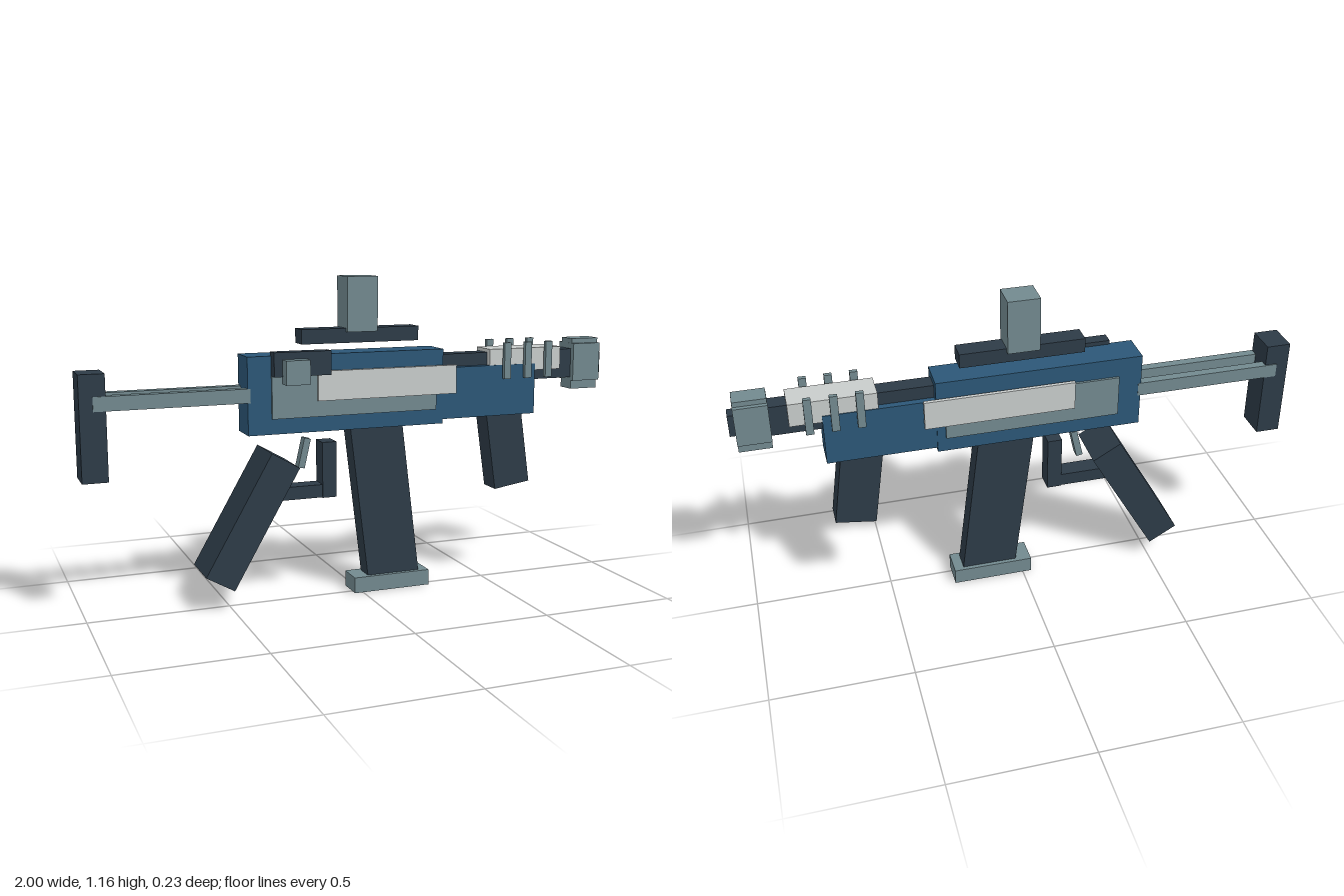
import * as THREE from 'three';

const mat = (name, color) => {
  const m = new THREE.MeshStandardMaterial({ color });
  m.name = name;
  return m;
};

export function createModel() {
  const blue = mat('blue', 0x2c5777);
  const dark = mat('darkSlate', 0x2d3b47);
  const grey = mat('grey', 0x72898f);
  const light = mat('lightGrey', 0xc8cccb);

  const model = new THREE.Group();
  model.name = 'toyBlaster';
  const mid = -0.0225; // z of the centre plane

  const add = (name, material, size, pos, tilt = 0) => {
    const mesh = new THREE.Mesh(new THREE.BoxGeometry(...size), material);
    mesh.name = name;
    mesh.position.set(...pos);
    mesh.rotation.z = THREE.MathUtils.degToRad(tilt);
    model.add(mesh);
  };
  // Box from its limits; z limits are measured from the centre plane
  const span = (name, material, x0, x1, y0, y1, z0, z1) =>
    add(name, material, [x1 - x0, y1 - y0, z1 - z0],
      [(x0 + x1) / 2, (y0 + y1) / 2, mid + (z0 + z1) / 2]);
  const centred = (name, material, x0, x1, y0, y1, half) =>
    span(name, material, x0, x1, y0, y1, -half, half);
  const pair = (name, material, x0, x1, y0, y1, z0, z1) => {
    span(name + 'Left', material, x0, x1, y0, y1, z0, z1);
    span(name + 'Right', material, x0, x1, y0, y1, -z1, -z0);
  };

  // Body
  centred('receiver', blue, -0.43, 0.31, 0.615, 0.89, 0.06);
  centred('handguard', blue, 0.29, 0.695, 0.63, 0.82, 0.056);
  pair('sidePlate', grey, -0.345, 0.28, 0.67, 0.82, 0.055, 0.069);
  pair('sideStrip', light, -0.18, 0.355, 0.727, 0.832, 0.067, 0.081);

  // Stock
  centred('buttPlate', dark, -1, -0.912, 0.49, 0.855, 0.057);
  pair('stockRod', grey, -0.955, -0.42, 0.73, 0.78, 0.028, 0.061);

  // Top rail and sight
  centred('topRail', dark, -0.225, 0.22, 0.923, 0.975, 0.036);
  centred('sight', grey, -0.06, 0.055, 0.962, 1.157, 0.0515);

  // Charging handle on one side
  span('handleBlock', dark, -0.345, -0.137, 0.82, 0.905, 0.052, 0.097);
  span('handleKnob', grey, -0.315, -0.228, 0.795, 0.88, 0.09, 0.14);

  // Barrel, shield and fins
  centred('barrel', dark, 0.3, 0.87, 0.757, 0.867, 0.031);
  centred('barrelTip', dark, 0.86, 1, 0.77, 0.85, 0.023);
  centred('heatShield', light, 0.505, 0.805, 0.795, 0.88, 0.053);
  for (const x of [0.553, 0.64, 0.727])
    pair('coolingFin', grey, x, x + 0.027, 0.77, 0.905, 0.064, 0.08);
  centred('muzzleWide', grey, 0.865, 0.98, 0.745, 0.888, 0.0515);
  centred('muzzleTall', grey, 0.866, 0.979, 0.712, 0.906, 0.036);

  // Grips, magazine and trigger
  add('rearGrip', dark, [0.117, 0.487, 0.183], [-0.426, 0.314, mid], -30);
  add('foreGrip', dark, [0.146, 0.34, 0.088], [0.59, 0.523, mid], 8.3);
  add('magazine', dark, [0.202, 0.62, 0.072], [0.092, 0.34, mid], 7);
  centred('magazineBase', grey, -0.032, 0.264, 0, 0.058, 0.0515);
  add('trigger', grey, [0.024, 0.108, 0.036], [-0.212, 0.532, mid], -13);
  centred('triggerGuardFront', dark, -0.15, -0.097, 0.367, 0.57, 0.035);
  centred('triggerGuardBottom', dark, -0.34, -0.105, 0.369, 0.416, 0.034);

  return model;
}
